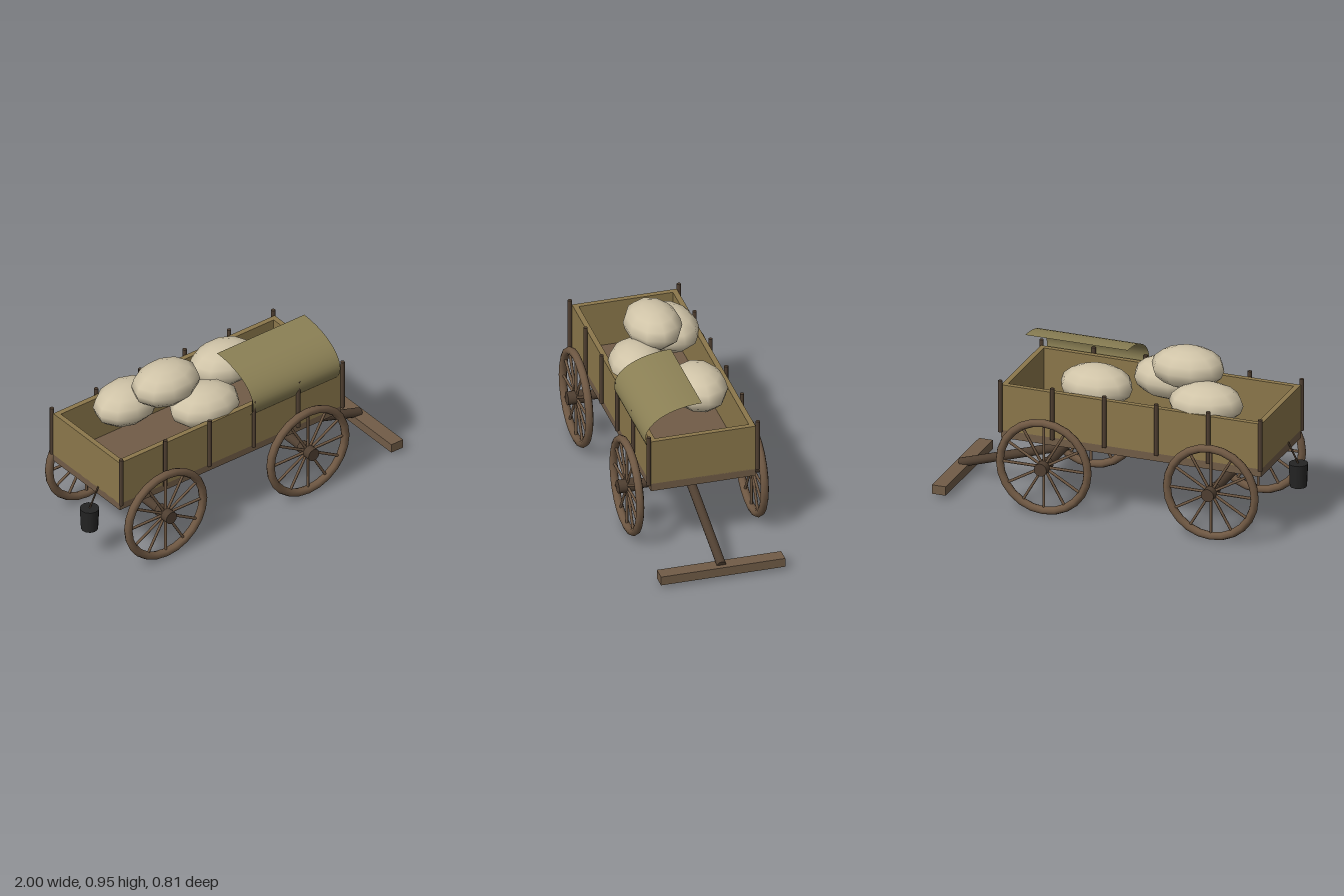
import * as THREE from 'three';

const mat = (color, side = THREE.FrontSide) => new THREE.MeshStandardMaterial({ color, side });
const darkWood = mat(0x4f3f31);
const wheelWood = mat(0x6f5843);
const floorWood = mat(0x715c47);
const plank = mat(0x8b774b);
const cloth = mat(0x8b8055, THREE.DoubleSide);
const sackCloth = mat(0xd0c4a8);
const iron = mat(0x242424);

function add(parent, name, geometry, material, x = 0, y = 0, z = 0) {
  const mesh = new THREE.Mesh(geometry, material);
  mesh.name = name;
  mesh.position.set(x, y, z);
  parent.add(mesh);
  return mesh;
}

const box = (parent, name, size, pos, material) =>
  add(parent, name, new THREE.BoxGeometry(...size), material, ...pos);

// Round bar between two points
function bar(parent, name, from, to, radius, material, sides = 12) {
  const a = new THREE.Vector3(...from), b = new THREE.Vector3(...to);
  const dir = b.clone().sub(a);
  const mesh = add(parent, name, new THREE.CylinderGeometry(radius, radius, dir.length(), sides), material);
  mesh.position.copy(a).add(b).multiplyScalar(0.5);
  mesh.quaternion.setFromUnitVectors(new THREE.Vector3(0, 1, 0), dir.normalize());
  return mesh;
}

// Rim, hub and twelve spokes
function makeWheel(x, y, z) {
  const wheel = new THREE.Group();
  wheel.name = 'wheel';
  add(wheel, 'rim', new THREE.TorusGeometry(0.255, 0.023, 8, 24), wheelWood);
  bar(wheel, 'hub', [0, 0, -0.053], [0, 0, 0.053], 0.037, darkWood);
  for (let i = 0; i < 12; i++) {
    const a = (i / 12) * Math.PI * 2;
    bar(wheel, 'spoke', [0, 0, 0], [Math.cos(a) * 0.25, Math.sin(a) * 0.25, 0], 0.008, wheelWood, 6);
  }
  wheel.position.set(x, y, z);
  return wheel;
}

export function createModel() {
  const wagon = new THREE.Group();
  wagon.name = 'wagon';

  // Wagon bed
  const left = -0.89, right = 0.62, mid = (left + right) / 2, length = right - left;
  box(wagon, 'floor', [length, 0.045, 0.59], [mid, 0.4125, 0], floorWood);
  for (const s of [-1, 1]) {
    box(wagon, 'sideWall', [length, 0.27, 0.03], [mid, 0.565, s * 0.28], plank);
    box(wagon, 'endWall', [0.03, 0.27, 0.53], [mid + s * (length / 2 - 0.015), 0.565, 0], plank);
    // Side stakes
    for (let i = 0; i < 6; i++) {
      const x = left + (length * i) / 5;
      bar(wagon, 'stake', [x, 0.43, s * 0.307], [x, 0.73, s * 0.307], 0.012, darkWood, 8);
    }
  }

  // Axles and wheels
  for (const x of [-0.62, 0.35]) {
    bar(wagon, 'axle', [x, 0.282, -0.36], [x, 0.282, 0.36], 0.027, darkWood);
    for (const s of [-1, 1]) wagon.add(makeWheel(x, 0.282, s * 0.351));
  }

  // Draw pole and crossbar
  bar(wagon, 'drawPole', [0.35, 0.268, 0], [0.97, 0.075, 0], 0.026, darkWood);
  box(wagon, 'crossbar', [0.08, 0.052, 0.7], [0.96, 0.05, 0], floorWood);

  // Sacks
  const sacks = [[-0.51, 0.705, -0.14, 0.3], [-0.19, 0.705, 0.135, -0.2], [0.135, 0.705, -0.115, 0], [-0.35, 0.84, 0, 0.1]];
  for (const [x, y, z, turn] of sacks) {
    const sack = add(wagon, 'sack', new THREE.SphereGeometry(1, 10, 8), sackCloth, x, y, z);
    sack.scale.set(0.207, 0.115, 0.156);
    sack.rotation.y = turn * 0.5;
  }

  // Draped canvas: flattened arc curling in under the top of the side wall
  const drape = new THREE.CylinderGeometry(0.32, 0.32, 0.595, 16, 1, true, -0.403, Math.PI / 2 + 0.403);
  drape.rotateZ(Math.PI / 2);
  drape.scale(1, 0.55, 1);
  add(wagon, 'canvas', drape, cloth, 0.2975, 0.704, 0);

  // Hanging bucket
  add(wagon, 'bucket', new THREE.CylinderGeometry(0.053, 0.047, 0.133, 12), iron, -0.95, 0.259, 0.105);
  bar(wagon, 'rope', [-0.89, 0.44, 0.105], [-0.95, 0.32, 0.105], 0.005, darkWood, 6);

  return wagon;
}
